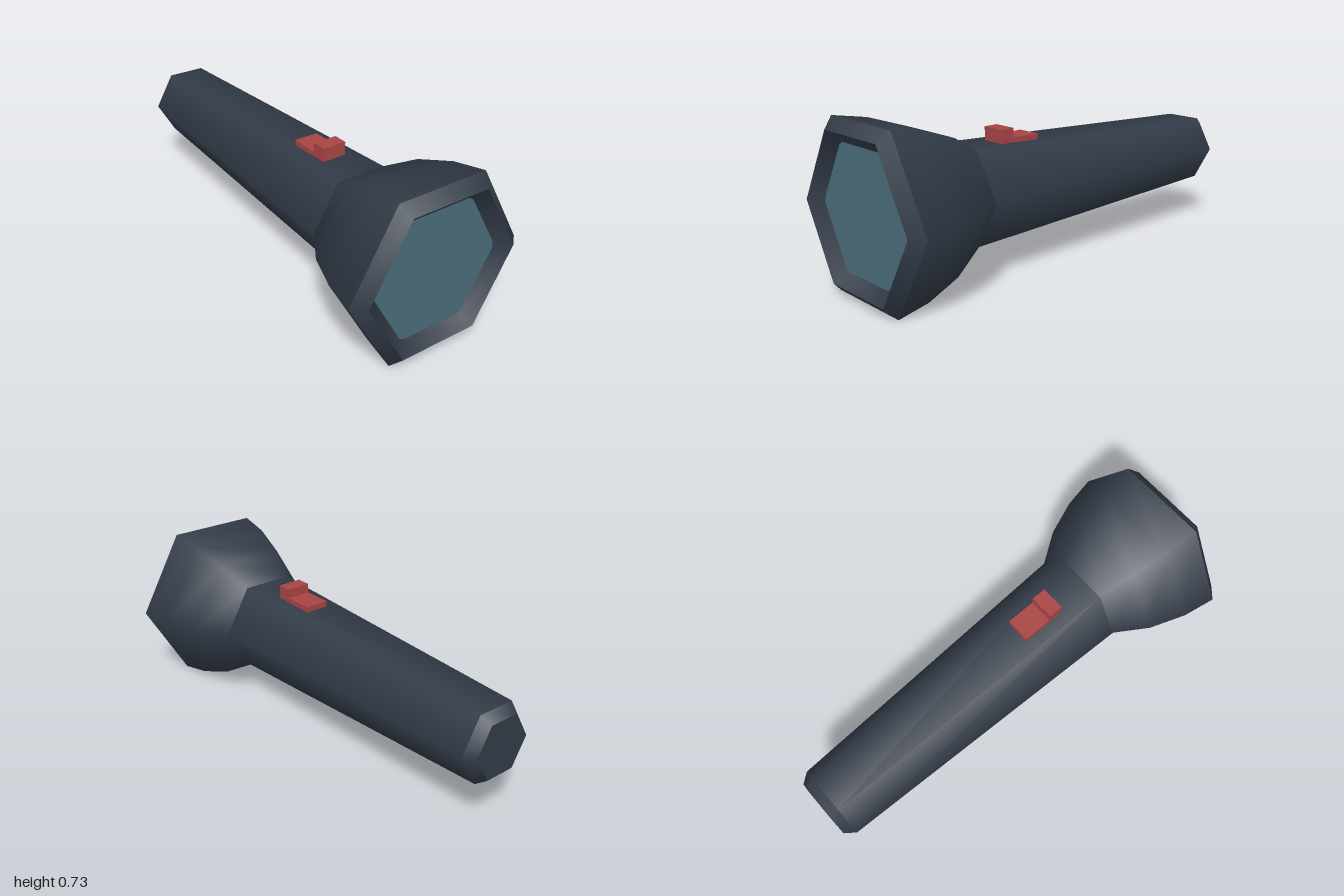
import * as THREE from 'three';

const AXIS_Y = 0.365;

export function createModel() {
  const model = new THREE.Group();
  model.name = 'flashlight';

  const casing = new THREE.MeshStandardMaterial({ color: 0x323b48 });
  casing.name = 'dark casing';
  const glass = new THREE.MeshStandardMaterial({ color: 0x4a6d7a });
  glass.name = 'teal glass';
  const red = new THREE.MeshStandardMaterial({ color: 0xa94444 });
  red.name = 'red switch';

  // Six-sided turned part along z; points are [radius, z], smooth within one part
  function hexPart(name, points) {
    const profile = points.map(([r, z]) => new THREE.Vector2(r, z));
    const geometry = new THREE.LatheGeometry(profile, 6, Math.PI / 2);
    geometry.rotateX(Math.PI / 2);
    const mesh = new THREE.Mesh(geometry, casing);
    mesh.name = name;
    mesh.position.y = AXIS_Y;
    model.add(mesh);
  }

  // Handle, from the tail forward
  hexPart('tailCap', [[0, -1], [0.14, -1]]);
  hexPart('tailBevel', [[0.14, -1], [0.175, -0.955]]);
  hexPart('handle', [[0.175, -0.955], [0.234, 0.49]]);

  // Flared head, bevelled rim and the recess that holds the lens
  hexPart('head', [[0.234, 0.49], [0.329, 0.635], [0.391, 0.8], [0.42, 0.952]]);
  hexPart('rimBevel', [[0.42, 0.952], [0.365, 1]]);
  hexPart('lensRecess', [[0.365, 1], [0.309, 0.95], [0.298, 0.94]]);
  hexPart('recessFloor', [[0.298, 0.94], [0, 0.94]]);

  // Round lens, its corners tucked into the hexagonal recess
  const lens = new THREE.Mesh(new THREE.CircleGeometry(0.302, 48), glass);
  lens.name = 'lens';
  lens.position.set(0, AXIS_Y, 0.95);
  model.add(lens);

  // Sliding switch: flat plate with a raised thumb block at its front
  function switchPart(name, bottom, top, back, front) {
    const mesh = new THREE.Mesh(new THREE.BoxGeometry(0.112, top - bottom, front - back), red);
    mesh.name = name;
    mesh.position.set(0, (bottom + top) / 2, (back + front) / 2);
    model.add(mesh);
  }
  switchPart('switchPlate', 0.53, 0.58, 0.11, 0.245);
  switchPart('switchThumbBlock', 0.53, 0.622, 0.245, 0.312);

  return model;
}
